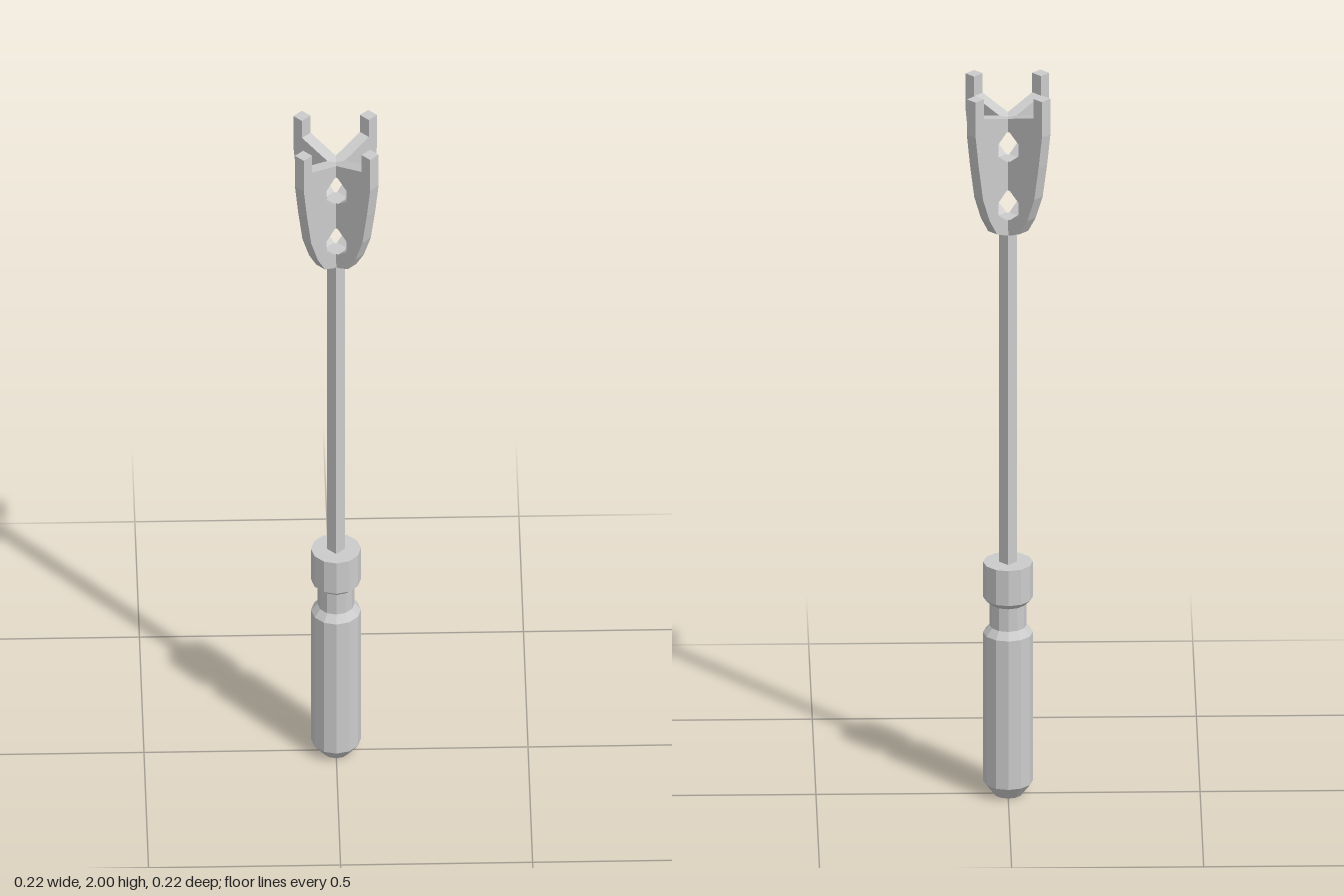
import * as THREE from 'three';

const material = new THREE.MeshStandardMaterial({ color: 0xcccccc, flatShading: true });

function addMesh(group, name, geometry) {
  const mesh = new THREE.Mesh(geometry, material);
  mesh.name = name;
  group.add(mesh);
  return mesh;
}

const toPoints = (list) => list.map(([x, y]) => new THREE.Vector2(x, y));

// Twelve-sided grip with a chamfered butt, a narrow neck and a collar
function handleGeometry() {
  const profile = [
    [0, 0], [0.037, 0], [0.065, 0.036], [0.065, 0.456], [0.048, 0.476],
    [0.048, 0.54], [0.065, 0.556], [0.065, 0.655], [0, 0.655],
  ];
  return new THREE.LatheGeometry(toPoints(profile), 12);
}

// Two-pronged plate with two eight-sided openings on its centre line
function bladeGeometry() {
  const thickness = 0.032;
  const half = [
    [0.022, 1.588], [0.058, 1.603], [0.085, 1.648], [0.11, 1.715],
    [0.126, 1.81], [0.138, 1.9], [0.138, 2], [0.107, 2], [0.107, 1.945],
  ];
  const mirrored = half.map(([x, y]) => [-x, y]).reverse();
  const shape = new THREE.Shape(toPoints([...half, [0, 1.912], ...mirrored]));

  for (const y of [1.673, 1.838]) {
    const hole = [];
    for (let i = 0; i < 8; i++) {
      const a = ((i + 0.5) * Math.PI) / 4;
      hole.push([0.057 * Math.cos(a), y + 0.045 * Math.sin(a)]);
    }
    shape.holes.push(new THREE.Path(toPoints(hole)));
  }

  const geometry = new THREE.ExtrudeGeometry(shape, { depth: thickness, bevelEnabled: false });
  return geometry.translate(0, 0, -thickness / 2);
}

export function createModel() {
  const model = new THREE.Group();
  model.name = 'prongedTool';

  addMesh(model, 'handle', handleGeometry());

  // Square rod set on its corner
  const rod = addMesh(model, 'rod', new THREE.CylinderGeometry(0.024, 0.024, 0.96, 4));
  rod.position.y = 1.12;

  // Two crossed plates make the four-pronged head
  const head = new THREE.Group();
  head.name = 'head';
  const blade = bladeGeometry();
  for (const [name, turn] of [['firstBlade', 1], ['secondBlade', -1]]) {
    addMesh(head, name, blade).rotation.y = (turn * Math.PI) / 4;
  }
  model.add(head);

  return model;
}
